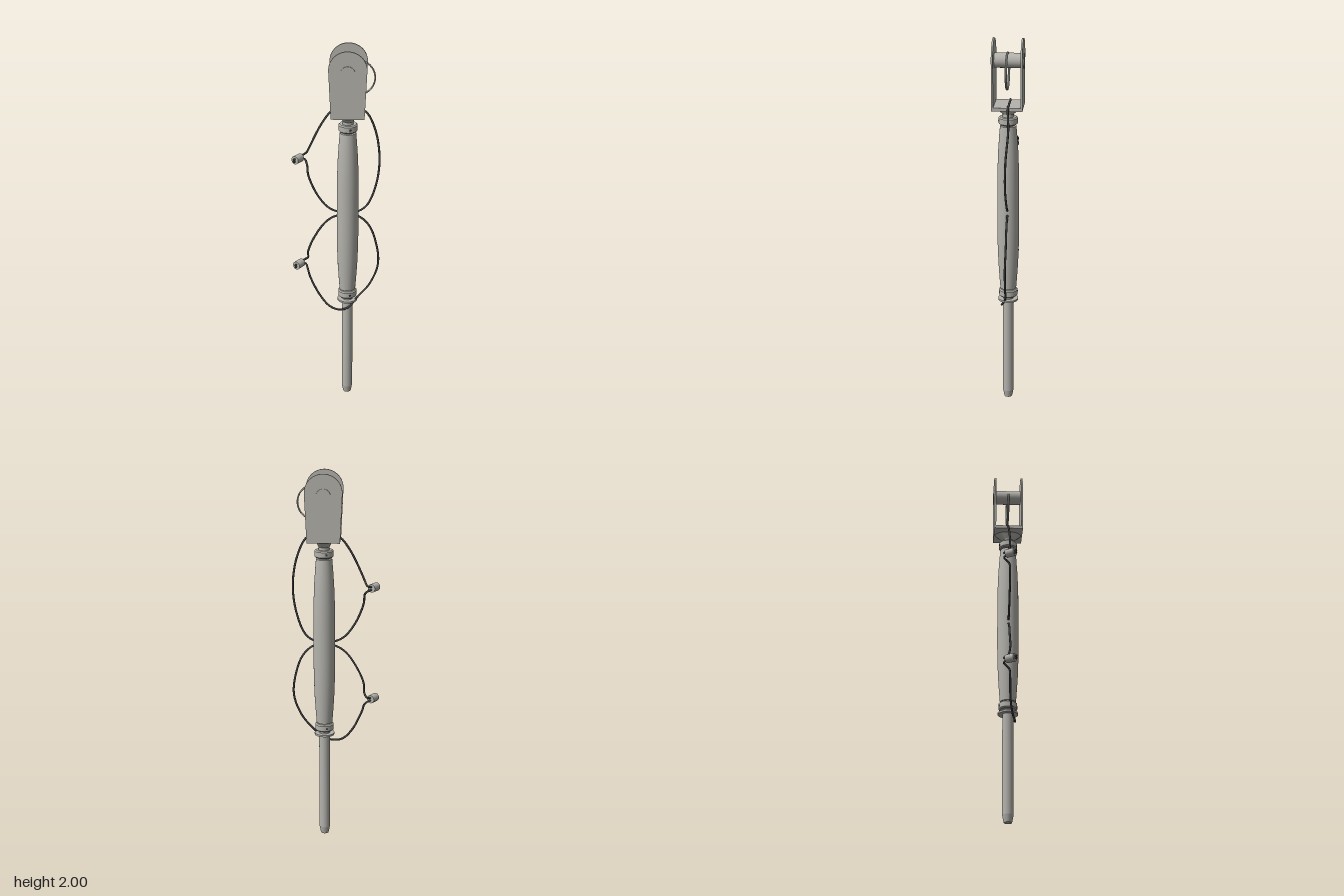
import * as THREE from 'three';

const AXIS = 0.061; // x of the main axis

export function createModel() {
  const group = new THREE.Group();
  const steel = new THREE.MeshStandardMaterial({ color: 0xb4b3ad });
  steel.name = 'steel';
  const wire = new THREE.MeshStandardMaterial({ color: 0x444444 });
  wire.name = 'dark wire';

  const add = (name, geometry, material, x = 0, y = 0, z = 0) => {
    const mesh = new THREE.Mesh(geometry, material);
    mesh.name = name;
    mesh.position.set(x, y, z);
    group.add(mesh);
    return mesh;
  };
  // Turned part; each profile segment is its own band so edges stay crisp
  const turned = (name, profile) => {
    const part = new THREE.Group();
    part.name = name;
    part.position.x = AXIS;
    for (let i = 0; i < profile.length - 1; i++) {
      const band = profile.slice(i, i + 2).map(([r, y]) => new THREE.Vector2(r, y));
      part.add(new THREE.Mesh(new THREE.LatheGeometry(band, 32), steel));
    }
    group.add(part);
  };

  // Threaded rod with tapered tip
  turned('rod', [[0, 0], [0.021, 0], [0.029, 0.04], [0.029, 0.66]]);

  // Barrel body, swelling in the middle
  const curve = [[0.042, 0.65], [0.046, 0.7], [0.052, 0.79], [0.056, 0.9], [0.057, 1.0],
    [0.057, 1.2], [0.056, 1.3], [0.052, 1.41], [0.046, 1.5], [0.042, 1.548]];
  const barrel = new THREE.LatheGeometry(curve.map(([r, y]) => new THREE.Vector2(r, y)), 32);
  add('barrel', barrel, steel, AXIS);
  turned('barrelLowerEnd', [[0, 0.65], [0.042, 0.65]]);
  turned('barrelUpperEnd', [[0.042, 1.548], [0, 1.548]]);

  // Lock nuts with a small cross hole, and the washer
  for (const [name, y] of [['lowerNut', 0.605], ['upperNut', 1.556]]) {
    turned(name, [[0, y], [0.043, y], [0.049, y + 0.006], [0.049, y + 0.034],
      [0.043, y + 0.04], [0, y + 0.04]]);
    for (const side of [1, -1]) {
      const hole = add(name + 'Hole', new THREE.CylinderGeometry(0.006, 0.006, 0.004, 12),
        wire, AXIS + 0.015 * side, y + 0.02, 0.0465 * side);
      hole.rotation.set(Math.PI / 2, 0, -0.3);
    }
  }
  turned('washer', [[0, 0.58], [0.053, 0.58], [0.053, 0.59], [0, 0.59]]);
  turned('neck', [[0.029, 1.54], [0.029, 1.63]]);

  // Flared fork base: round at the neck, wide along z at the top
  const flare = new THREE.CylinderGeometry(0.045, 0.028, 0.036, 32);
  const p = flare.attributes.position;
  for (let i = 0; i < p.count; i++) if (p.getY(i) > 0) p.setZ(i, p.getZ(i) * 1.6);
  flare.computeVertexNormals();
  add('forkFlare', flare, steel, AXIS, 1.628);

  // Fork floor and two round-topped cheeks
  add('forkFloor', new THREE.BoxGeometry(0.17, 0.017, 0.14), steel, AXIS, 1.6535);
  const cheek = new THREE.Shape();
  cheek.moveTo(-0.085, 1.645);
  cheek.lineTo(0.085, 1.645);
  cheek.lineTo(0.097, 1.903);
  cheek.absarc(0, 1.903, 0.097, 0, Math.PI, false);
  cheek.closePath();
  for (const [name, z] of [['frontCheek', 0.069], ['backCheek', -0.078]]) {
    add(name, new THREE.ExtrudeGeometry(cheek,
      { depth: 0.009, bevelEnabled: false, curveSegments: 24 }), steel, AXIS, 0, z);
  }

  // Clevis pin and its split ring
  add('clevisPin', new THREE.CylinderGeometry(0.038, 0.038, 0.164, 32), steel, AXIS, 1.887)
    .rotation.x = Math.PI / 2;
  for (const z of [0.002, -0.002]) {
    add('splitRing', new THREE.TorusGeometry(0.092, 0.004, 8, 48), steel, 0.104, 1.843, z);
  }

  // Safety wires, each running from the back of its ferrule round to it again
  const upper = [[-0.185, 1.404, -0.018], [-0.165, 1.412, -0.034], [-0.15, 1.435, -0.01],
    [-0.13, 1.48, 0], [-0.07, 1.6, 0], [-0.02, 1.662, -0.005], [0.03, 1.672, -0.008],
    [0.1, 1.672, -0.008], [0.15, 1.66, -0.006], [0.2, 1.56, -0.012], [0.224, 1.4, 0],
    [0.205, 1.25, 0.004], [0.16, 1.14, 0], [0.11, 1.104, 0], [0.02, 1.1, 0],
    [-0.04, 1.125, 0], [-0.1, 1.2, 0], [-0.145, 1.31, 0], [-0.15, 1.36, -0.005],
    [-0.165, 1.384, -0.034], [-0.185, 1.39, -0.018]];
  const lower = [[-0.185, 0.795, -0.018], [-0.165, 0.803, -0.034], [-0.15, 0.825, -0.01],
    [-0.148, 0.87, 0], [-0.11, 0.96, 0], [-0.05, 1.045, 0], [0.01, 1.08, 0],
    [0.11, 1.08, 0], [0.17, 1.03, 0], [0.21, 0.93, 0], [0.224, 0.8, 0.004],
    [0.18, 0.68, 0.006], [0.115, 0.6, 0.012], [0.07, 0.55, 0.034], [0.02, 0.533, 0.035],
    [-0.035, 0.547, 0.02], [-0.09, 0.61, 0.005], [-0.14, 0.715, 0], [-0.15, 0.75, -0.005],
    [-0.165, 0.776, -0.034], [-0.185, 0.782, -0.018]];
  for (const [name, points, y] of [['upper', upper, 1.397], ['lower', lower, 0.788]]) {
    const path = new THREE.CatmullRomCurve3(points.map((q) => new THREE.Vector3(...q)));
    add(name + 'SafetyWire', new THREE.TubeGeometry(path, 160, 0.0055, 8), wire);

    // Crimped ferrule with the two wire ends sticking out
    const ferrule = new THREE.Group();
    ferrule.name = name + 'Ferrule';
    ferrule.position.set(-0.198, y, 0);
    ferrule.quaternion.setFromUnitVectors(new THREE.Vector3(0, 0, 1),
      new THREE.Vector3(-0.54, 0, 0.84).normalize());
    const sleeve = new THREE.Mesh(new THREE.CylinderGeometry(0.022, 0.022, 0.05, 24), steel);
    sleeve.rotation.x = Math.PI / 2;
    ferrule.add(sleeve);
    for (const side of [1, -1]) {
      const stub = new THREE.Mesh(new THREE.CylinderGeometry(0.0055, 0.0055, 0.014, 8), wire);
      stub.rotation.x = Math.PI / 2;
      stub.position.set(0, side * 0.006, 0.03);
      ferrule.add(stub);
    }
    group.add(ferrule);
  }
  return group;
}
